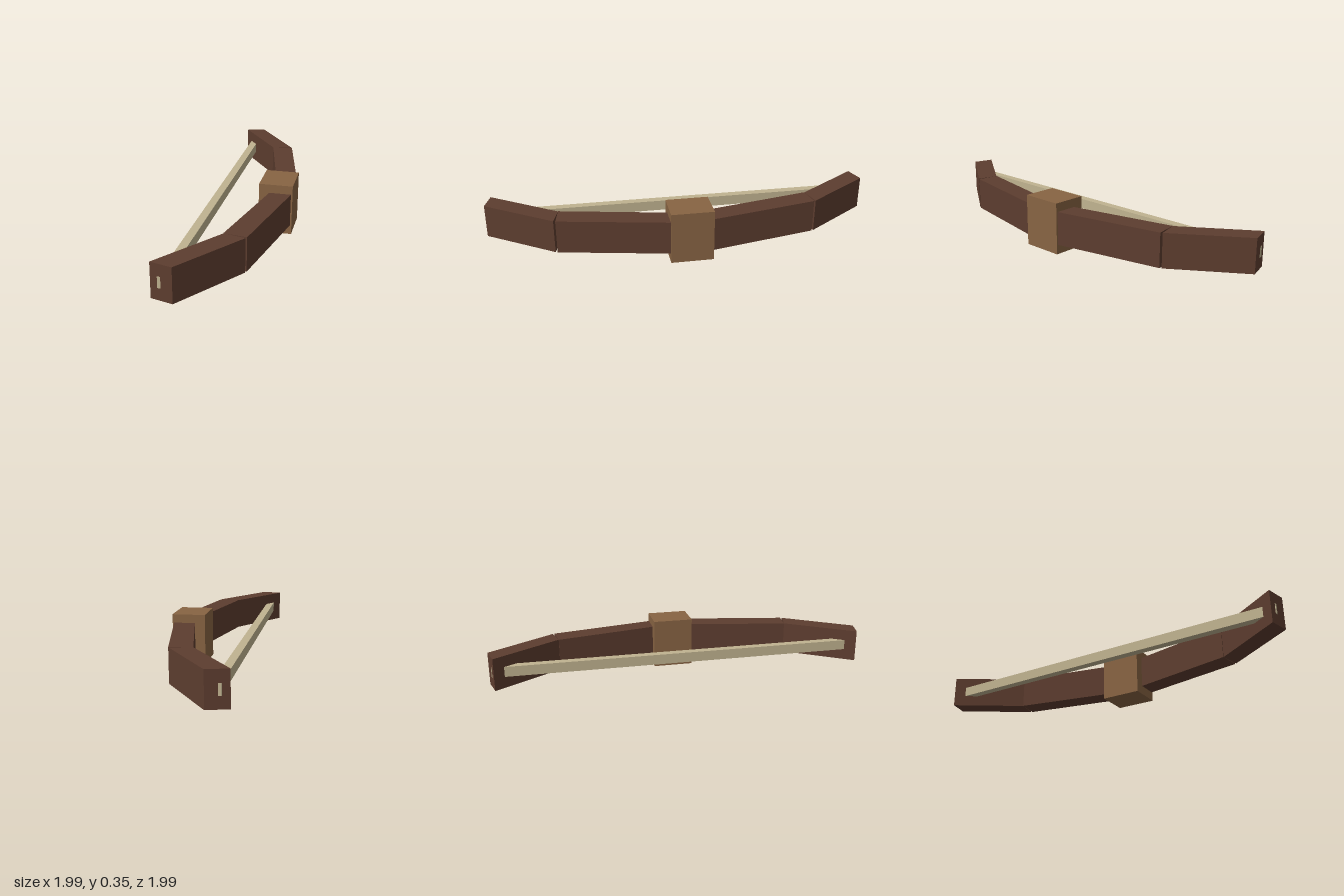
import * as THREE from 'three';

const material = (name, color) => {
  const m = new THREE.MeshStandardMaterial({ color });
  m.name = name;
  return m;
};

export function createModel() {
  const darkWood = material('darkWood', 0x5d3d2f);
  const gripWood = material('gripWood', 0x886443);
  const cord = material('cord', 0xc0b390);

  const model = new THREE.Group();
  model.name = 'bow';

  // The bow lies flat: local x runs along the string, local z points away from it
  const bow = new THREE.Group();
  bow.name = 'bowBody';
  bow.rotation.y = Math.PI / 4;
  model.add(bow);

  const add = (name, geometry, mat, x = 0, y = 0, z = 0) => {
    const mesh = new THREE.Mesh(geometry, mat);
    mesh.name = name;
    mesh.position.set(x, y, z);
    bow.add(mesh);
  };

  // Slanted limb blocks, outlined in plan as [along, outward]
  const limbBottom = 0.065, limbTop = 0.295;
  const outlines = {
    OuterLimb: [[-1.322, -0.092], [-1.358, 0.049], [-0.898, 0.361], [-0.863, 0.219]],
    InnerLimb: [[-0.862, 0.216], [-0.885, 0.367], [-0.136, 0.518], [-0.117, 0.371]],
  };
  for (const [side, s] of [['right', 1], ['left', -1]]) {
    for (const [name, points] of Object.entries(outlines)) {
      const shape = new THREE.Shape(points.map(([u, v]) => new THREE.Vector2(s * u, v)));
      const block = new THREE.ExtrudeGeometry(shape, { depth: limbTop - limbBottom, bevelEnabled: false });
      block.rotateX(Math.PI / 2);
      add(side + name, block, darkWood, 0, limbTop, 0);
    }
  }

  // Grip block in the middle
  add('grip', new THREE.BoxGeometry(0.29, 0.355, 0.234), gripWood, 0, 0.1775, 0.41);

  // Straight string, its ends just breaking through the limb tips
  add('string', new THREE.BoxGeometry(2.678, 0.072, 0.056), cord, 0, 0.18, -0.017);

  return model;
}
